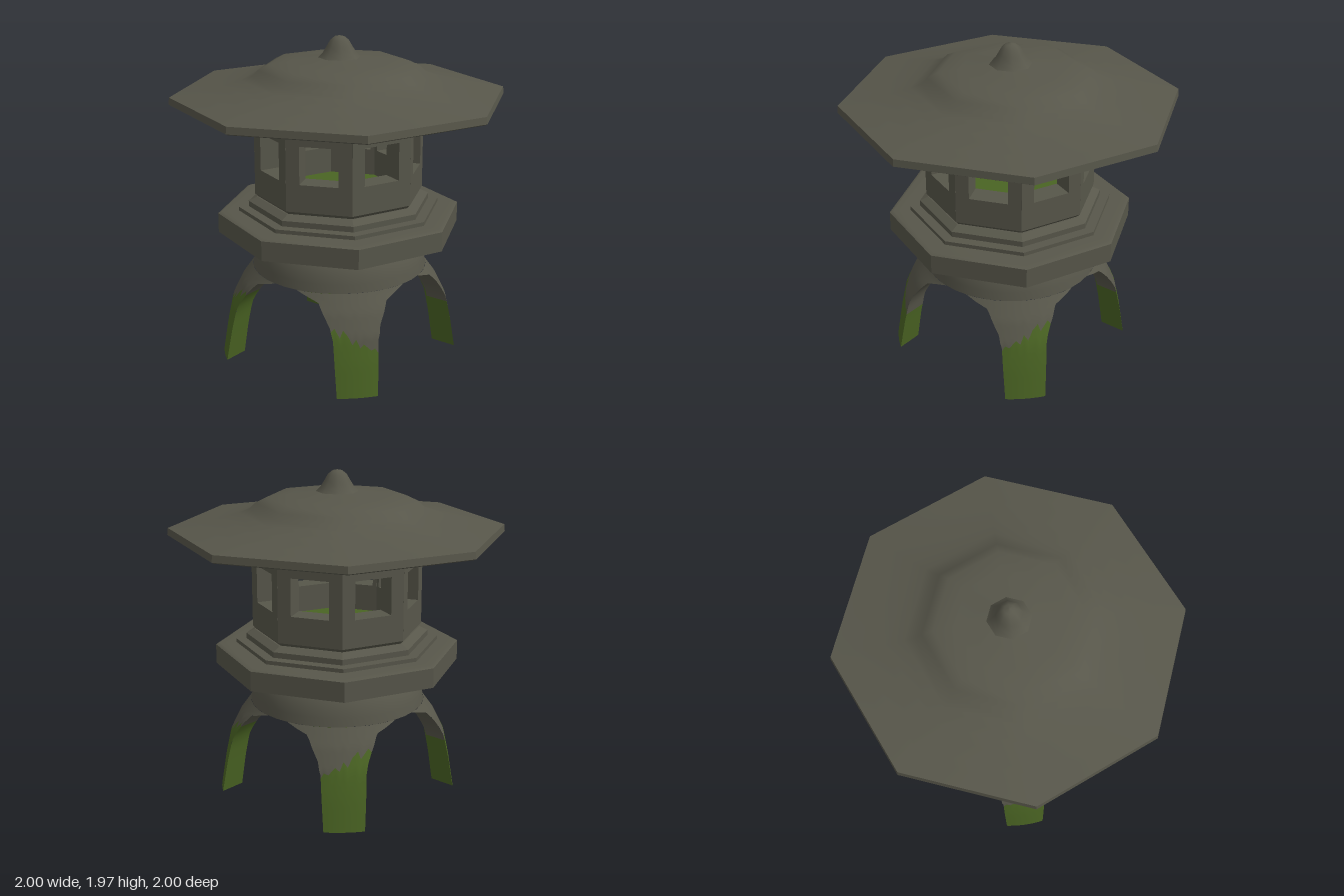
import * as THREE from 'three';

const stone = new THREE.MeshStandardMaterial({ color: 0x57564a });
stone.name = 'weathered stone';
const moss = new THREE.MeshStandardMaterial({ color: 0x4a6423 });
moss.name = 'green moss';

const lerp = THREE.MathUtils.lerp;

// Piecewise linear lookup in a list of [y, value]
function lookup(table, y) {
  for (let i = 1; i < table.length; i++) {
    const [y0, a] = table[i - 1], [y1, b] = table[i];
    if (y <= y1) return lerp(a, b, (y - y0) / (y1 - y0));
  }
  return table[table.length - 1][1];
}

function part(parent, name, geometry, material) {
  const mesh = new THREE.Mesh(geometry, material);
  mesh.name = name;
  parent.add(mesh);
  return mesh;
}

// Turned part; eight sides by default, optionally faceted
function turned(parent, name, material, points, { sides = 8, flat = false } = {}) {
  let g = new THREE.LatheGeometry(points.map(([r, y]) => new THREE.Vector2(r, y)), sides);
  if (flat) {
    g = g.toNonIndexed();
    g.computeVertexNormals();
  }
  return part(parent, name, g, material);
}

// Grid surface from a rule f(u, v) => [x, y, z], u and v from 0 to 1
function surface(f, nu, nv) {
  const g = new THREE.PlaneGeometry(1, 1, nu, nv);
  const p = g.attributes.position;
  for (let i = 0; i < p.count; i++) p.setXYZ(i, ...f(p.getX(i) + 0.5, p.getY(i) + 0.5));
  g.computeVertexNormals();
  return g;
}

// Base shape: outer radius, wall thickness and half width of the arch by height
const ARCH_TOP = 0.57;
const outerRadius = [[0, 0.724], [0.2, 0.692], [0.35, 0.66], [0.47, 0.602], [0.57, 0.53]];
const thickness = [[0, 0.125], [0.57, 0.11]];
const archHalf = [[0, 0.42], [0.2, 0.39], [0.33, 0.367], [0.4, 0.335], [0.47, 0.28], [0.525, 0.23], [0.57, 0.08]];

// Point on a leg: u across, y height, depth 0 outside to 1 inside
function legPoint(u, y, depth) {
  const r = lookup(outerRadius, y) - depth * lookup(thickness, y);
  const half = Math.max(0, Math.PI / 4 - Math.asin(lookup(archHalf, y) / r));
  const a = (u * 2 - 1) * half;
  return [r * Math.sin(a), y, r * Math.cos(a)];
}

// Ragged upper edge of the moss on the legs
const mossEdge = [0.31, 0.34, 0.33, 0.35, 0.37, 0.35, 0.4, 0.37, 0.42, 0.45, 0.41, 0.46, 0.44];

function leg(index) {
  const g = new THREE.Group();
  g.name = 'leg';
  const n = mossEdge.length - 1;
  const edge = u => {
    const i = Math.round(u * n);
    return index === 3 ? mossEdge[n - i] - 0.06 : mossEdge[i];
  };
  part(g, 'legMoss', surface((u, v) => legPoint(u, v * edge(u), 0), n, 8), moss);
  part(g, 'legStone', surface((u, v) => legPoint(u, lerp(edge(u), ARCH_TOP, v), 0), n, 12), stone);
  part(g, 'legInside', surface((u, v) => legPoint(1 - u, v * ARCH_TOP, 1), n, 20), moss);
  part(g, 'legFoot', surface((u, v) => legPoint(u, 0, 1 - v), n, 1), moss);
  // Cut faces of the arch, mossy below and bare above
  for (const side of [0, 1]) {
    const split = edge(side);
    const cut = (y0, y1) => surface((u, v) => legPoint(side, lerp(y0, y1, v), side ? u : 1 - u), 2, 10);
    part(g, 'archSideMoss', cut(0, split), moss);
    part(g, 'archSideStone', cut(split, ARCH_TOP), stone);
  }
  g.rotation.y = Math.PI / 4 + index * Math.PI / 2;
  return g;
}

// One wall of the lantern chamber with its window, mitred at the corners
function wallGeometry() {
  const w = 0.195, t = 0.13, win = 0.115;
  const shape = new THREE.Shape([[-w, 1.03], [w, 1.03], [w, 1.575], [-w, 1.575]].map(p => new THREE.Vector2(...p)));
  shape.holes.push(new THREE.Path([[-win, 1.195], [-win, 1.42], [win, 1.42], [win, 1.195]].map(p => new THREE.Vector2(...p))));
  const g = new THREE.ExtrudeGeometry(shape, { depth: t, bevelEnabled: false });
  g.translate(0, 0, -t);
  const p = g.attributes.position;
  for (let i = 0; i < p.count; i++) {
    const x = p.getX(i);
    if (Math.abs(x) > win + 0.01 && p.getZ(i) < -t / 2) p.setX(i, Math.sign(x) * (w - t * Math.tan(Math.PI / 8)));
  }
  g.computeVertexNormals();
  return g;
}

export function createModel() {
  const model = new THREE.Group();
  model.name = 'stoneLantern';

  // Arched base
  for (let i = 0; i < 4; i++) model.add(leg(i));
  turned(model, 'baseBowl', stone, [[0.53, 0.57], [0.52, 0.62], [0.508, 0.67], [0.48, 0.73], [0.425, 0.795]], { sides: 32 });
  turned(model, 'archSoffit', stone, [[0.42, 0.57], [0.53, 0.57]], { sides: 32 });
  turned(model, 'baseCeiling', moss, [[0, 0.72], [0.25, 0.71], [0.37, 0.66], [0.42, 0.57]], { sides: 32 });

  // Platform with its stepped top
  turned(model, 'platformUnderside', moss, [[0, 0.785], [0.5, 0.785], [0.71, 0.792]]);
  turned(model, 'platformRim', stone, [[0.71, 0.792], [0.735, 0.797], [0.735, 0.915]], { flat: true });
  turned(model, 'platformTop', stone, [[0.735, 0.915], [0.71, 0.927], [0.6, 0.927]]);
  turned(model, 'lowerStep', stone, [[0.61, 0.92], [0.61, 0.95], [0.54, 0.952]], { flat: true });
  turned(model, 'upperStep', stone, [[0.55, 0.945], [0.55, 0.985], [0.5, 1.01], [0.47, 1.012]], { flat: true });

  // Lantern chamber
  turned(model, 'chamberFoot', stone, [[0.485, 1.005], [0.51, 1.03]], { flat: true });
  turned(model, 'chamberFloor', moss, [[0.4, 1.032], [0, 1.032]]);
  const wall = wallGeometry();
  for (let i = 0; i < 8; i++) {
    const holder = new THREE.Group();
    holder.name = 'chamberWall';
    part(holder, 'windowWall', wall, stone).position.z = 0.51 * Math.cos(Math.PI / 8);
    holder.rotation.y = (i + 0.5) * Math.PI / 4;
    model.add(holder);
  }

  // Roof
  turned(model, 'chamberCeiling', stone, [[0, 1.565], [0.42, 1.565]]);
  turned(model, 'roofUnderside', moss, [[0.42, 1.57], [0.985, 1.586]]);
  turned(model, 'roofEdge', stone, [[0.985, 1.586], [1, 1.594], [0.995, 1.635]], { flat: true });
  turned(model, 'roofTop', stone, [[0.995, 1.635], [0.84, 1.662], [0.68, 1.693], [0.58, 1.722], [0.515, 1.745],
    [0.48, 1.78], [0.415, 1.812], [0.3, 1.825], [0.125, 1.845]]);
  turned(model, 'finial', stone, [[0.125, 1.845], [0.1, 1.87], [0.075, 1.91], [0.055, 1.945], [0.03, 1.965], [0, 1.972]]);

  return model;
}
